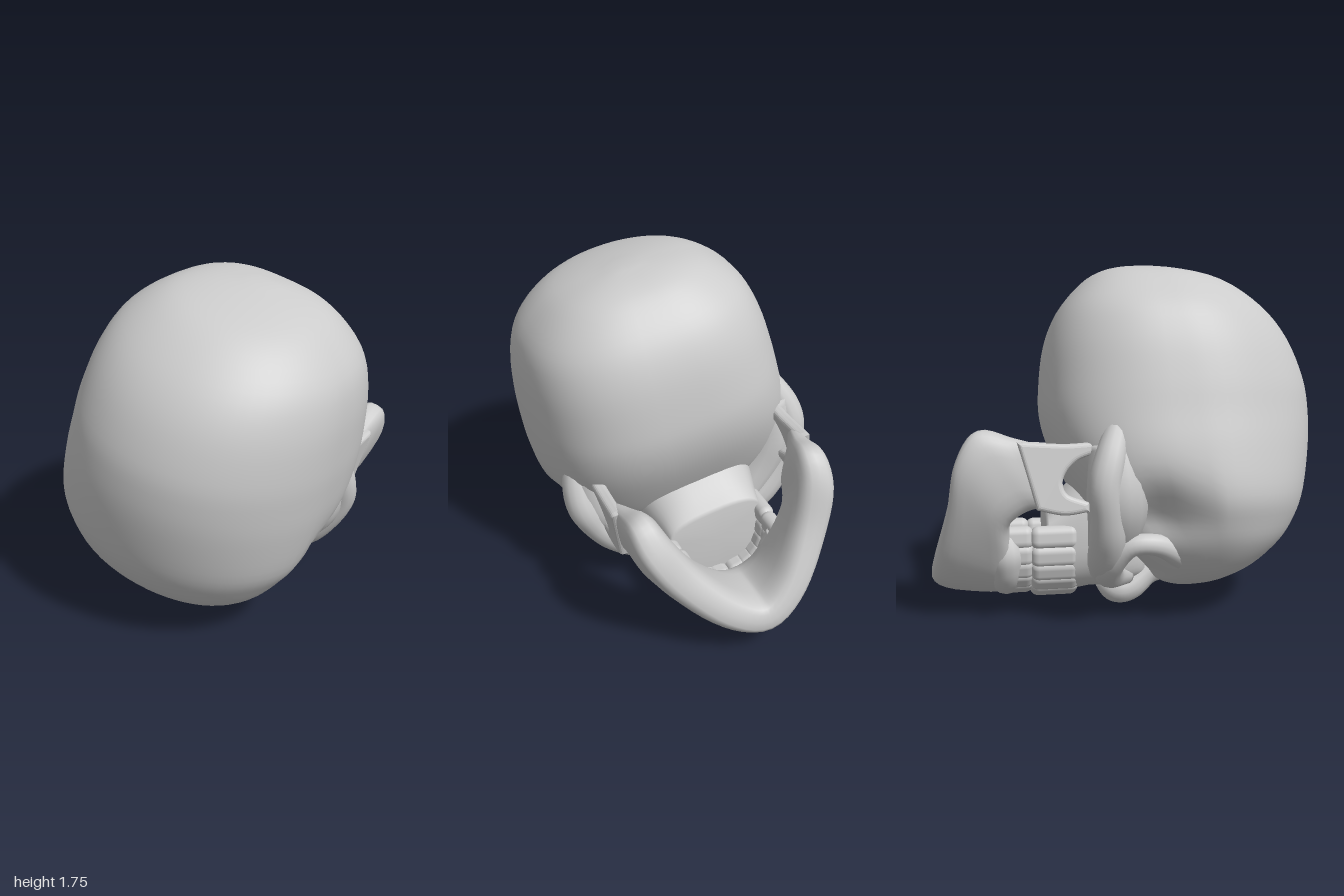
import * as THREE from 'three';
import { RoundedBoxGeometry } from 'three/addons/geometries/RoundedBoxGeometry.js';

const bone = new THREE.MeshStandardMaterial({ color: 0xcccccc, side: THREE.DoubleSide });
const V = (x, y, z) => new THREE.Vector3(x, y, z);

// Catmull-Rom through rows of numbers
function refine(rows, steps) {
  const out = [];
  const at = i => rows[Math.max(0, Math.min(rows.length - 1, i))];
  for (let i = 0; i < rows.length - 1; i++) {
    for (let s = 0; s < steps; s++) {
      const t = s / steps;
      out.push(rows[i].map((b, k) => {
        const a = at(i - 1)[k], c = at(i + 1)[k], d = at(i + 2)[k];
        return b + 0.5 * t * (c - a + t * (2 * a - 5 * b + 4 * c - d + t * (3 * (b - c) + d - a)));
      }));
    }
  }
  out.push(rows[rows.length - 1]);
  return out;
}

// Closed skin over rings of points, capped at both ends and turned outwards
function loft(rings) {
  const n = rings[0].length, pts = rings.flat(), idx = [];
  for (let i = 0; i < rings.length - 1; i++) {
    for (let j = 0; j < n; j++) {
      const a = i * n + j, b = i * n + (j + 1) % n;
      idx.push(a, b, a + n, b, b + n, a + n);
    }
  }
  [0, rings.length - 1].forEach(r => {
    const c = pts.length;
    pts.push(rings[r].reduce((s, p) => s.add(p), V(0, 0, 0)).divideScalar(n));
    for (let j = 0; j < n; j++) {
      const a = r * n + j, b = r * n + (j + 1) % n;
      if (r) idx.push(a, b, c); else idx.push(b, a, c);
    }
  });
  let volume = 0;
  const cross = V(0, 0, 0);
  for (let i = 0; i < idx.length; i += 3) {
    volume += pts[idx[i]].dot(cross.crossVectors(pts[idx[i + 1]], pts[idx[i + 2]]));
  }
  if (volume < 0) idx.reverse();
  const g = new THREE.BufferGeometry().setFromPoints(pts);
  g.setIndex(idx);
  g.computeVertexNormals();
  return g;
}

// Superellipse point as a pair of factors
const sq = (a, e) => {
  const c = Math.cos(a), s = Math.sin(a);
  return [Math.sign(c) * Math.abs(c) ** e, Math.sign(s) * Math.abs(s) ** e];
};

// Tapered bone: rows of x, y, z, radius
function strut(rows, side = 1) {
  const st = refine(rows.map(([x, y, z, r]) => [x * side, y, z, r]), 6);
  const n = V(0.3, 0.9, 0.2);
  return loft(st.map((p, i) => {
    const a = st[Math.max(0, i - 1)], b = st[Math.min(st.length - 1, i + 1)];
    const t = V(b[0] - a[0], b[1] - a[1], b[2] - a[2]).normalize();
    n.addScaledVector(t, -n.dot(t)).normalize();
    const m = t.clone().cross(n);
    return Array.from({ length: 14 }, (_, k) => V(p[0], p[1], p[2])
      .addScaledVector(n, p[3] * Math.cos(k * Math.PI / 7))
      .addScaledVector(m, p[3] * Math.sin(k * Math.PI / 7)));
  }));
}

// Braincase with the skull base: height, half width, back z, front z
function craniumGeometry() {
  const rows = refine([
    [1.785, 0.06, 0.05, 0.15], [1.755, 0.26, -0.09, 0.36], [1.69, 0.42, -0.2, 0.58],
    [1.55, 0.57, -0.32, 0.77], [1.38, 0.64, -0.39, 0.9], [1.17, 0.675, -0.42, 0.98],
    [1.0, 0.69, -0.42, 1.0], [0.82, 0.7, -0.37, 0.99], [0.6, 0.69, -0.26, 0.95],
    [0.46, 0.63, -0.17, 0.9], [0.34, 0.55, -0.03, 0.82], [0.22, 0.42, 0.1, 0.68],
    [0.145, 0.27, 0.16, 0.53], [0.11, 0.1, 0.25, 0.41]], 4);
  return loft(rows.map(([y, w, z0, z1]) => Array.from({ length: 64 }, (_, k) => {
    const a = k * Math.PI / 32;
    const [c, s] = sq(a, Math.sin(a) < 0 ? 0.74 : 0.98);
    const z = (z0 + z1) / 2 + s * (z1 - z0) / 2;
    // hollow of the temple
    const dent = 0.15 * Math.exp(-(((z - 0.1) / 0.16) ** 2) - ((y - 0.5) / 0.15) ** 2);
    // the upper braincase leans a little to the left
    const lean = 0.025 * THREE.MathUtils.smoothstep(y, 0.5, 1.1);
    return V(c * (w - dent) + lean, y, z);
  })));
}

// Upper jaw block: z, half width, front y, back y
function maxillaGeometry() {
  const rows = refine([[0.1, 0.09, 0.16, 0.5], [0, 0.2, 0.14, 0.6], [-0.1, 0.34, 0.12, 0.74],
    [-0.2, 0.32, 0.12, 0.72], [-0.33, 0.28, 0.11, 0.62], [-0.42, 0.26, 0.12, 0.52]], 4);
  return loft(rows.map(([z, w, f, b]) => Array.from({ length: 40 }, (_, k) => {
    const [c, s] = sq(k * Math.PI / 20, 0.75);
    const y = s < 0 ? 0.42 + s * (0.42 - f) : 0.42 + s * (b - 0.42);
    // nasal opening
    const hole = s < 0 ? 0.13 * Math.exp(-((c * w / 0.08) ** 2) - ((z + 0.17) / 0.06) ** 2) : 0;
    return V(c * w, y + hole, z);
  })));
}

// Lower jaw swept from one ramus round the chin to the other:
// lower edge x, y, z, then upper edge x, y, z, then half thickness
function mandibleGeometry() {
  const half = [
    [0, 0.24, -1.0, 0, 0.19, -0.56, 0.1], [0.18, 0.35, -0.97, 0.13, 0.23, -0.57, 0.1],
    [0.34, 0.58, -0.9, 0.26, 0.36, -0.6, 0.1], [0.43, 0.81, -0.85, 0.37, 0.49, -0.6, 0.1],
    [0.455, 0.94, -0.75, 0.43, 0.56, -0.49, 0.085], [0.475, 0.9, -0.58, 0.475, 0.56, -0.4, 0.055],
    [0.51, 0.855, -0.42, 0.505, 0.6, -0.39, 0.03]];
  const mirror = half.slice(1).reverse().map(r => [-r[0], r[1], r[2], -r[3], r[4], r[5], r[6]]);
  const st = refine([...mirror, ...half], 5);
  const mid = r => V(r[0] + r[3], r[1] + r[4], r[2] + r[5]).multiplyScalar(0.5);
  return loft(st.map((r, i) => {
    const along = mid(st[Math.min(st.length - 1, i + 1)]).sub(mid(st[Math.max(0, i - 1)]));
    const h = V(r[0] - r[3], r[1] - r[4], r[2] - r[5]).multiplyScalar(0.5);
    const n = along.cross(h).normalize();
    return Array.from({ length: 24 }, (_, k) => {
      const [c, s] = sq(k * Math.PI / 12, 0.65);
      return mid(r).addScaledVector(h, c).addScaledVector(n, s * r[6]);
    });
  }));
}

// End of the ramus with the notch between its two prongs, drawn in z and y
function ramusEndGeometry() {
  const shape = new THREE.Shape();
  const pt = (x, y) => new THREE.Vector2(x, y);
  shape.moveTo(-0.21, 0.85);
  shape.lineTo(-0.21, 0.835);
  shape.splineThru([pt(-0.29, 0.805), pt(-0.35, 0.75), pt(-0.375, 0.68), pt(-0.345, 0.61), pt(-0.25, 0.57)]);
  shape.lineTo(-0.25, 0.56);
  shape.splineThru([pt(-0.35, 0.55), pt(-0.46, 0.575)]);
  shape.lineTo(-0.54, 0.86);
  shape.splineThru([pt(-0.42, 0.85), pt(-0.32, 0.845), pt(-0.21, 0.85)]);
  const g = new THREE.ExtrudeGeometry(shape, {
    depth: 0.02, bevelSize: 0.022, bevelThickness: 0.022, bevelSegments: 4, curveSegments: 16 });
  return g.translate(0, 0, -0.01).rotateY(-Math.PI / 2);
}

export function createModel() {
  const model = new THREE.Group();
  const skull = new THREE.Group();
  skull.name = 'skull';
  skull.position.x = -0.2;
  skull.rotation.z = -0.21;
  model.add(skull);
  const add = (name, geometry) => {
    const m = new THREE.Mesh(geometry, bone);
    m.name = name;
    skull.add(m);
    return m;
  };

  add('cranium', craniumGeometry());
  add('upperJaw', maxillaGeometry());
  add('lowerJaw', mandibleGeometry());
  add('nasalBone', strut([[0, 0.22, 0.26, 0.08], [0, 0.18, 0.13, 0.07],
    [0, 0.11, 0.03, 0.08], [0, 0.1, -0.05, 0.08], [0, 0.15, -0.12, 0.05]]));

  for (const side of [1, -1]) {
    const s = side > 0 ? 'left' : 'right';
    // rim running from the brow round the eye socket to the nose
    add(s + 'EyeSocketRim', strut([[0, 0.2, 0.24, 0.06], [0.18, 0.21, 0.27, 0.07],
      [0.36, 0.29, 0.24, 0.07], [0.46, 0.36, 0.11, 0.055], [0.46, 0.36, -0.03, 0.055],
      [0.36, 0.27, -0.12, 0.075], [0.2, 0.2, -0.1, 0.075], [0.06, 0.17, 0.0, 0.05]], side));
    // cheekbone and its arch back to the braincase
    add(s + 'Cheekbone', strut([[0.2, 0.22, -0.13, 0.08], [0.36, 0.3, -0.14, 0.09],
      [0.48, 0.41, -0.14, 0.09], [0.56, 0.53, -0.15, 0.08], [0.605, 0.67, -0.16, 0.08],
      [0.6, 0.8, -0.13, 0.075], [0.55, 0.95, -0.08, 0.06]], side));
    // filled wall between arch, braincase and upper jaw
    add(s + 'CheekWall', strut([[0.27, 0.33, -0.12, 0.1], [0.41, 0.48, -0.09, 0.14],
      [0.5, 0.64, -0.09, 0.15], [0.51, 0.86, -0.1, 0.12]], side));
    add(s + 'RamusEnd', ramusEndGeometry()).position.x = side * 0.51;
  }

  // squarish dental arch, open at the back
  const arch = (a, w, d) => {
    const [c, s] = sq(a, 0.8);
    return [w * c, 0.47 - d * s];
  };

  // gum ridge of the lower teeth
  add('lowerGum', strut(Array.from({ length: 11 }, (_, k) => {
    const [x, y] = arch(0.1 + k * (Math.PI - 0.2) / 10, 0.25, 0.29);
    return [x, y, -0.62, k % 10 ? 0.085 : 0.05];
  })));

  // two rows of teeth
  const rows = [['upperTooth', -0.38, 0.24, 0.265, 0.345], ['lowerTooth', -0.57, 0.17, 0.255, 0.325]];
  for (const [name, z, h, w, d] of rows) {
    for (let k = 0; k < 12; k++) {
      const a = (k + 0.5) * Math.PI / 12;
      const [x, y] = arch(a, w, d);
      const [x0, y0] = arch(a - 0.05, w, d), [x1, y1] = arch(a + 0.05, w, d);
      const t = add(name, new RoundedBoxGeometry(0.115, 0.085, h, 4, 0.04));
      t.position.set(x, y, z);
      t.rotation.z = Math.atan2(y1 - y0, x1 - x0);
    }
  }
  return model;
}
